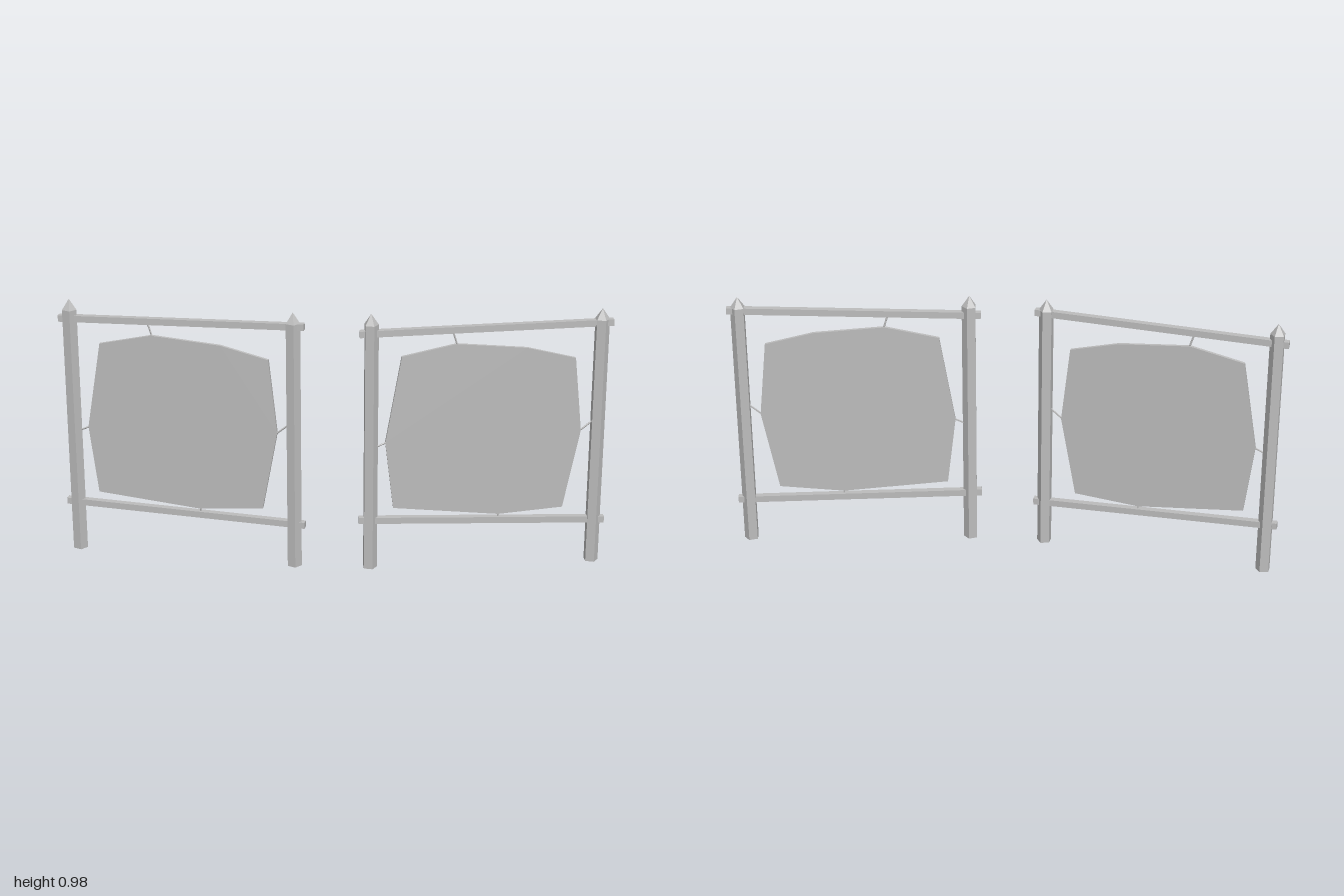
import * as THREE from 'three';

const grey = new THREE.MeshStandardMaterial({ color: 0xbcbcbc, flatShading: true });
grey.name = 'weathered grey';

function add(group, name, geometry) {
  const mesh = new THREE.Mesh(geometry, grey);
  mesh.name = name;
  group.add(mesh);
  return mesh;
}

// Lays a part whose length runs along local y between two points
function between(mesh, a, b) {
  const from = new THREE.Vector3(a[0], a[1], 0);
  const to = new THREE.Vector3(b[0], b[1], 0);
  mesh.position.copy(from).add(to).multiplyScalar(0.5);
  mesh.quaternion.setFromUnitVectors(new THREE.Vector3(0, 1, 0), to.sub(from).normalize());
  return mesh;
}

function rail(group, name, a, b) {
  const length = Math.hypot(b[0] - a[0], b[1] - a[1]);
  between(add(group, name, new THREE.BoxGeometry(0.024, length, 0.024)), a, b);
}

function tie(group, name, a, b) {
  const length = Math.hypot(b[0] - a[0], b[1] - a[1]);
  between(add(group, name, new THREE.CylinderGeometry(0.0035, 0.0035, length, 5)), a, b);
}

// Five-sided stake with a pointed top
function post(group, name, x) {
  const stake = new THREE.Group();
  stake.name = name;
  stake.position.x = x;
  stake.rotation.y = Math.PI / 2;
  add(stake, 'postShaft', new THREE.CylinderGeometry(0.0275, 0.0275, 0.94, 5)).position.y = 0.47;
  add(stake, 'postPoint', new THREE.ConeGeometry(0.0275, 0.04, 5)).position.y = 0.96;
  group.add(stake);
}

function hideFrame(name) {
  const frame = new THREE.Group();
  frame.name = name;

  post(frame, 'postRight', -0.414);
  post(frame, 'postLeft', 0.414);

  // Slightly crooked rails
  rail(frame, 'topRail', [-0.455, 0.906], [0.455, 0.929]);
  rail(frame, 'bottomRail', [-0.455, 0.19], [0.455, 0.165]);

  // Irregular stretched panel
  const outline = [
    [-0.304, 0.818], [-0.108, 0.861], [0.147, 0.84], [0.324, 0.797], [0.354, 0.519],
    [0.297, 0.219], [0.06, 0.198], [-0.329, 0.235], [-0.36, 0.492],
  ].map(([x, y]) => new THREE.Vector2(x, y));
  const panel = new THREE.ExtrudeGeometry(new THREE.Shape(outline), { depth: 0.012, bevelEnabled: false });
  panel.translate(0, 0, -0.006);
  add(frame, 'panel', panel);

  // Ties holding the panel in the frame
  tie(frame, 'topTie', [-0.105, 0.855], [-0.123, 0.912]);
  tie(frame, 'bottomTie', [0.06, 0.203], [0.06, 0.173]);
  tie(frame, 'rightTie', [-0.355, 0.492], [-0.4, 0.472]);
  tie(frame, 'leftTie', [0.35, 0.516], [0.4, 0.557]);
  return frame;
}

export function createModel() {
  const model = new THREE.Group();
  model.name = 'pairOfStretchedPanels';
  for (const side of [-1, 1]) {
    const frame = hideFrame(side < 0 ? 'rightFrame' : 'leftFrame');
    frame.position.x = side * 0.549;
    frame.rotation.y = side * THREE.MathUtils.degToRad(8);
    model.add(frame);
  }
  return model;
}
